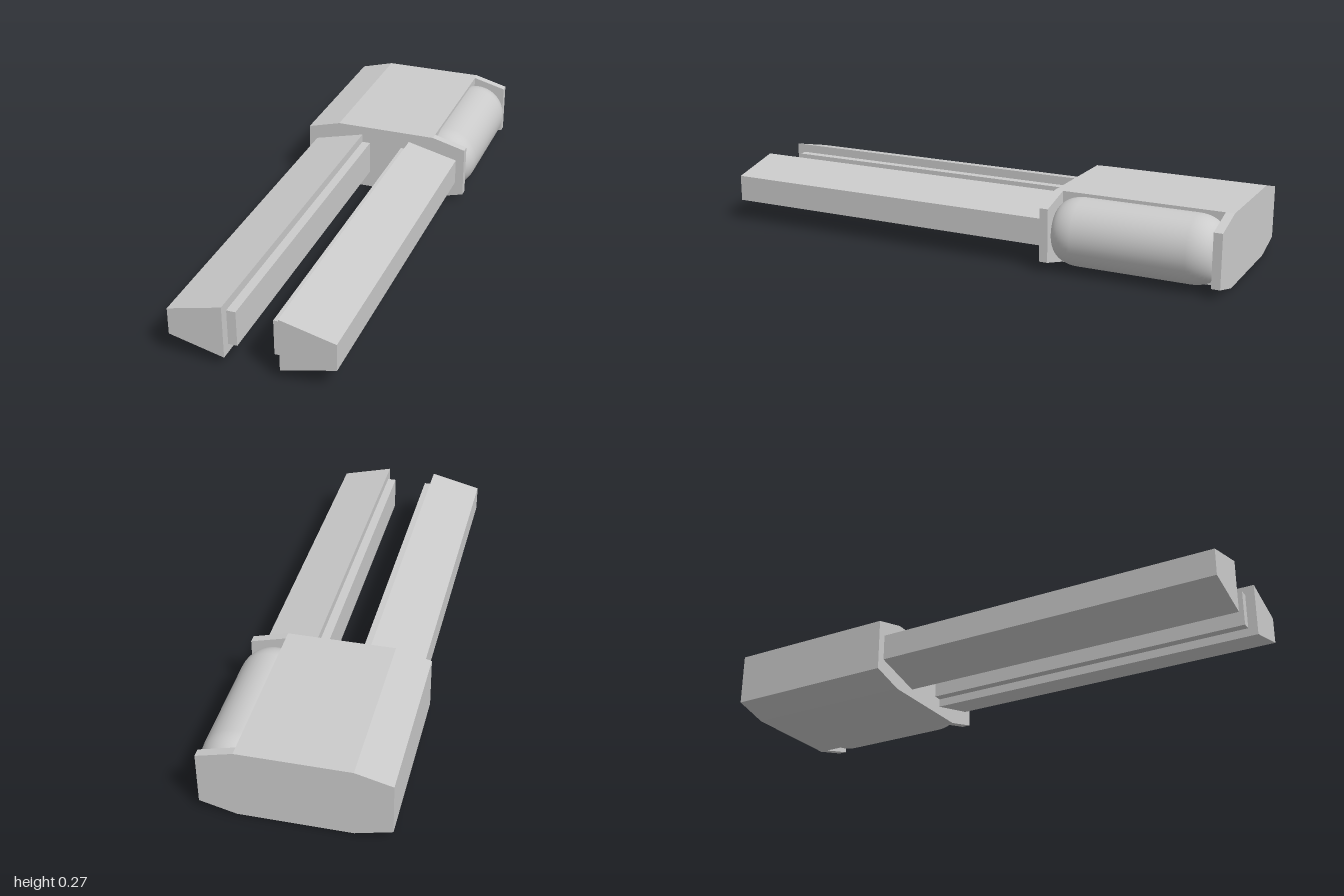
import * as THREE from 'three';

const material = new THREE.MeshStandardMaterial({ color: 0xcccccc });

// Extrudes an outline in the x-y plane from z0 to z1
function prism(name, points, z0, z1) {
  const shape = new THREE.Shape(points.map(([x, y]) => new THREE.Vector2(x, y)));
  const geometry = new THREE.ExtrudeGeometry(shape, { depth: z1 - z0, bevelEnabled: false });
  geometry.translate(0, 0, z0);
  const mesh = new THREE.Mesh(geometry, material);
  mesh.name = name;
  return mesh;
}

export function createModel() {
  const model = new THREE.Group();
  model.name = 'twoProngDevice';

  const inner = 0.2, outer = 0.3315, height = 0.268, middle = height / 2;
  const back = -1, front = -0.335, notchBack = -0.968, notchFront = -0.367;

  // Housing: chamfered block with a notch along its left side
  const rightEdge = [[-inner, height], [-outer, 0.233], [-outer, 0.035], [-inner, 0]];
  const leftEdge = [[inner, 0], [outer, 0.035], [outer, 0.233], [inner, height]];
  model.add(prism('housing', [...rightEdge, [inner, 0], [inner, height]], back, front));

  // End plates that close the notch
  model.add(prism('backEndPlate', leftEdge, back, notchBack));
  model.add(prism('frontEndPlate', leftEdge, notchFront, front));

  // Rounded canister lying in the notch
  const radius = 0.125, flat = 0.07, round = 0.09;
  const length = notchFront - notchBack;
  const profile = [new THREE.Vector2(0, 0)];
  const steps = 10;
  for (let i = 0; i <= steps; i++) {
    const a = (i / steps) * Math.PI / 2;
    profile.push(new THREE.Vector2(flat + (radius - flat) * Math.sin(a), round * (1 - Math.cos(a))));
  }
  for (let i = profile.length - 1; i >= 0; i--) {
    profile.push(new THREE.Vector2(profile[i].x, length - profile[i].y));
  }
  const canister = new THREE.Mesh(new THREE.LatheGeometry(profile, 48), material);
  canister.name = 'canister';
  canister.rotation.x = Math.PI / 2;
  canister.position.set(0.2265, middle, notchBack);
  model.add(canister);

  // Mirrored prongs, each with a contact strip on its inner face
  for (const [side, s] of [['left', 1], ['right', -1]]) {
    const prong = [[0.0995, 0.035], [0.2985, 0.084], [0.2985, 0.184], [0.0995, 0.233]];
    const strip = [[0.0665, 0.067], [0.0995, 0.067], [0.0995, 0.2], [0.0665, 0.2]];
    const mirror = (points) => points.map(([x, y]) => [x * s, y]);
    model.add(prism(side + 'Prong', mirror(prong), front, 1));
    model.add(prism(side + 'ContactStrip', mirror(strip), front, 0.965));
  }

  // Centre the whole width, canister bulge included
  model.position.x = -0.0115;
  const root = new THREE.Group();
  root.add(model);
  return root;
}
